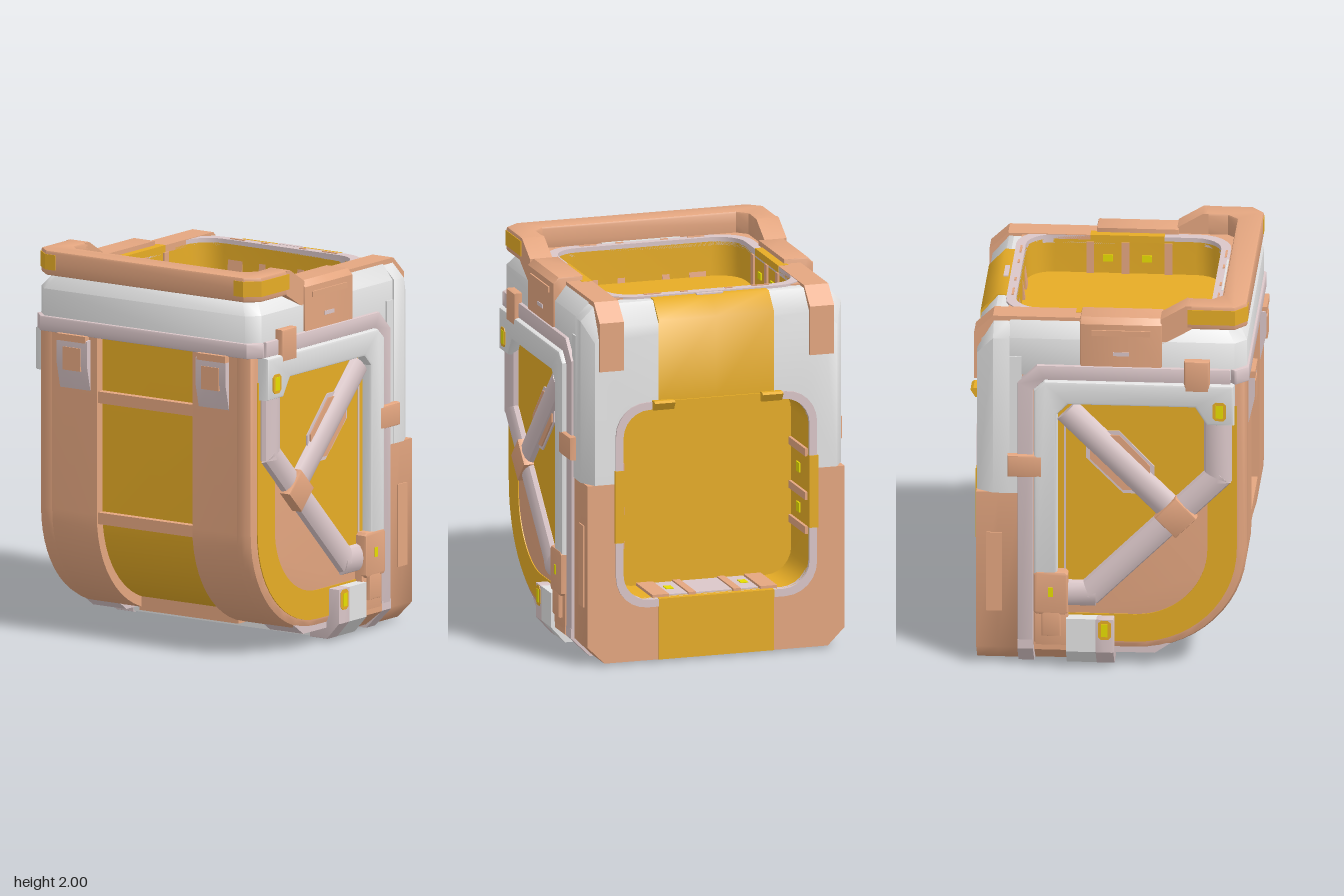
import * as THREE from 'three';
import { toCreasedNormals } from 'three/addons/utils/BufferGeometryUtils.js';

const mat = (name, color) => {
  const m = new THREE.MeshStandardMaterial({ color, side: THREE.DoubleSide });
  m.name = name;
  return m;
};

// Points of an arc, angles in quarter turns
const arc = (cx, cy, r, q0, q1, n = 10) => Array.from({ length: n + 1 }, (_, i) => {
  const a = (q0 + (q1 - q0) * i / n) * Math.PI / 2;
  return [cx + r * Math.cos(a), cy + r * Math.sin(a)];
});
const roundSquare = (h, r, cy = 0) => [0, 1, 2, 3].flatMap(q =>
  arc((q === 0 || q === 3 ? 1 : -1) * (h - r), cy + (q < 2 ? 1 : -1) * (h - r), r, q, q + 1, 6));
const toShape = (pts, hole) => {
  const v = p => p.map(([x, y]) => new THREE.Vector2(x, y));
  const s = new THREE.Shape(v(pts));
  if (hole) s.holes.push(new THREE.Path(v(hole)));
  return s;
};

// Extrusions along each axis; b is an inward bevel
function exZ(pts, z0, z1, b = 0, hole) {
  const g = new THREE.ExtrudeGeometry(toShape(pts, hole), {
    depth: z1 - z0 - 2 * b, bevelEnabled: b > 0, bevelSize: b, bevelThickness: b,
    bevelOffset: -b, bevelSegments: 2, steps: 2 });
  return g.translate(0, 0, z0 + b);
}
const exX = (pts, x0, x1, b, hole) => exZ(pts, x0, x1, b, hole).rotateY(Math.PI / 2);
const exY = (pts, y0, y1, b, hole) => exZ(pts, y0, y1, b, hole).rotateX(-Math.PI / 2);
const rect = (x0, x1, y0, y1, c = 0) => c ? [[x0 + c, y0], [x1 - c, y0], [x1, y0 + c], [x1, y1 - c],
  [x1 - c, y1], [x0 + c, y1], [x0, y1 - c], [x0, y0 + c]] : [[x0, y0], [x1, y0], [x1, y1], [x0, y1]];
const box = (x0, x1, y0, y1, z0, z1, b = 0) => exZ(rect(x0, x1, y0, y1), z0, z1, b);
// Cross band under the base with chamfered ends
const underBand = (x0, x1, w, y, top) => exX([[-w, top], [-w, 0.1], [0.1 - w, y], [w - 0.1, y], [w, 0.1], [w, top]], x0, x1);

// Move vertices by a rule
function warp(g, rule) {
  const p = g.attributes.position, v = new THREE.Vector3();
  for (let i = 0; i < p.count; i++) { v.fromBufferAttribute(p, i); rule(v); p.setXYZ(i, v.x, v.y, v.z); }
  g.computeVertexNormals();
  return g;
}
function mirrorZ(geo) {
  const g = geo.index ? geo.toNonIndexed() : geo.clone(), p = g.attributes.position;
  const a = p.array.slice();
  for (let i = 0; i < p.count; i++) {
    const j = i % 3 === 1 ? i + 1 : i % 3 === 2 ? i - 1 : i;
    p.setXYZ(i, a[3 * j], a[3 * j + 1], -a[3 * j + 2]);
  }
  g.computeVertexNormals();
  return g;
}

export function createModel() {
  const root = new THREE.Group();
  root.name = 'cornerModule';
  const gold = mat('gold', 0xe6ac26), orange = mat('copper', 0xe4a680), grey = mat('lightGrey', 0xe4e4e4),
    pink = mat('rosyGrey', 0xdac6c8), yellow = mat('yellow', 0xfaf000);
  const add = (name, g, m, crease = 0.6) => {
    const mesh = new THREE.Mesh(toCreasedNormals(g, crease), m);
    mesh.name = name;
    root.add(mesh);
  };
  const both = (name, g, m) => { add(name + 'Left', g, m); add(name + 'Right', mirrorZ(g), m); };

  // Recesses behind the top and right openings, each closed by a flat panel
  add('topRecessWall', exY(roundSquare(0.53, 0.17), 1.67, 1.87, 0, roundSquare(0.5, 0.14)), gold);
  add('topRecessFloor', exY(roundSquare(0.52, 0.16), 1.65, 1.69), gold);
  add('sideRecessWall', exX(roundSquare(0.53, 0.17, 0.83), 0.38, 0.67, 0, roundSquare(0.5, 0.14, 0.83)), gold);
  add('sideRecessPanel', exX(roundSquare(0.52, 0.16, 0.83), 0.36, 0.39), gold);

  // Rounded body: side plates, rear rims and recessed rear panel
  const body = d => [[-0.7 + d, 1.62], ...arc(-0.13, 0.66, 0.57 - d, 2, 3, 14), [0.52, 0.09 + d]];
  const lining = [[0.52, 0.31], ...arc(-0.08, 0.73, 0.42, 3, 2, 12), [-0.52, 1.62]];
  both('sidePlate', exZ([...body(0), [0.52, 1.62]], 0.54, 0.67, 0.04), orange);
  both('rearRim', exZ([...body(0), ...lining], 0.3, 0.58), orange);
  add('rearPanel', exZ([...body(0.05), ...lining], -0.31, 0.31), gold);
  for (const y of [1.27, 0.64]) add('rearRib', box(-0.69, -0.64, y - 0.03, y + 0.03, -0.31, 0.31), orange);
  add('lowerRib', box(-0.31, -0.25, 0.1, 0.2, -0.31, 0.31), orange);

  // Painted side bands and triangular panel
  both('sideBand', exZ([[-0.65, 1.45], ...arc(-0.13, 0.66, 0.52, 2, 3, 14), [0.24, 0.14], [0.24, 0.29],
    ...arc(-0.13, 0.66, 0.37, 3, 2, 14), [-0.5, 1.45]], 0.666, 0.675), gold);
  both('sidePanel', exZ([[-0.5, 1.46], [0.28, 1.46], [0.28, 0.38], [0.1, 0.4], [-0.5, 1.0]], 0.667, 0.677), gold);
  both('panelLine', box(0.222, 0.234, 0.45, 1.36, 0.675, 0.68), pink);

  // Top shell, bevelled towards its upper edge
  add('topShell', warp(exY(rect(-0.7, 0.57, -0.69, 0.69, 0.06), 1.6, 1.88, 0, roundSquare(0.52, 0.16)), v => {
    if (v.y > 1.7 && v.y < 1.8) v.y = 1.8;
    if (v.y > 1.85 && Math.max(Math.abs(v.z), -v.x) > 0.55) {
      v.z *= 0.91;
      if (v.x < 0) v.x += 0.05;
    }
  }), grey, 0.9);

  // Right end frame: grey upper half with softened edges, copper lower half
  add('upperFrame', warp(exX([[-0.7, 0.95], [-0.7, 1.8], [-0.62, 1.88], [0.62, 1.88], [0.7, 1.8], [0.7, 0.95],
    [0.53, 0.95], ...arc(0.39, 1.22, 0.14, 0, 1, 6), ...arc(-0.39, 1.22, 0.14, 1, 2, 6), [-0.53, 0.95]],
  0.51, 0.68), v => {
    if (v.x > 0.67) {
      if (v.y > 1.5) v.y -= 0.1;
      if (Math.abs(v.z) > 0.55) v.z *= 0.93;
    }
  }), grey, 0.9);
  add('lowerFrame', exX([[-0.69, 0.95], [-0.69, 0.1], [-0.6, 0.01], [0.6, 0.01], [0.69, 0.1], [0.69, 0.95],
    [0.53, 0.95], ...arc(0.39, 0.44, 0.14, 0, -1, 6), ...arc(-0.39, 0.44, 0.14, 3, 2, 6), [-0.53, 0.95]],
  0.46, 0.682), orange, 0.9);
  both('upperCheek', box(0.45, 0.52, 0.95, 1.7, 0.53, 0.697), grey);
  both('cheekPanel', box(0.55, 0.63, 0.3, 0.73, 0.68, 0.697), orange);

  // Stripe and corner straps that follow the end frame over its edge
  const strap = (x, low, t) => [[x, 1.86], [x, 1.88 + t], [0.6, 1.88 + t], [0.68 + t, 1.79 + t], [0.68 + t, low],
    [0.66, low], [0.66, 1.77], [0.58, 1.85]];
  add('upperStripe', exZ(strap(0.53, 1.37, 0.005), -0.31, 0.31), gold, 0.9);
  add('lowerStripe', box(0.66, 0.688, 0.01, 0.3, -0.31, 0.31), gold);
  both('cornerStrap', exZ(strap(0.15, 1.55, 0.016), 0.5, 0.63), orange);
  add('stripeMark', box(0.56, 0.585, 1.88, 1.892, -0.07, 0.07), pink);

  // Opening rims with gold inserts
  add('topRim', exY(roundSquare(0.55, 0.18), 1.85, 1.893, 0, roundSquare(0.5, 0.14)), pink);
  add('sideRim', exX(roundSquare(0.54, 0.17, 0.83), 0.65, 0.69, 0, roundSquare(0.5, 0.14, 0.83)), pink);
  both('sideRimInsert', box(0.66, 0.694, 0.64, 1.02, 0.499, 0.545), gold);
  for (const y of [0.31, 1.35]) add('crossRimInsert', box(0.66, 0.694, y - 0.021, y + 0.021, -0.31, 0.31), gold);
  both('topRimInsert', box(-0.2, 0.18, 1.86, 1.897, 0.499, 0.555), gold);
  both('hingeTab', exZ([[0.66, 1.33], [0.71, 1.33], [0.735, 1.37], [0.72, 1.38], [0.66, 1.375]], 0.235, 0.345), gold);

  // Ribs, panels and lights inside the recesses
  for (const y of [0.62, 0.8, 1.03]) both('wallRib', box(0.38, 0.66, y - 0.02, y + 0.02, 0.485, 0.51), orange);
  for (const x of [-0.22, 0, 0.18]) both('upperRib', box(x - 0.02, x + 0.02, 1.68, 1.86, 0.49, 0.51), orange);
  const slope = [[-0.535, 1.898], [-0.525, 1.898], [-0.495, 1.68], [-0.535, 1.68]];
  for (const [z, w] of [[0.12, 0.02], [0.29, 0.045]]) {
    both('rearWallRib', exZ(slope, z - w, z + w), orange);
    both('frontWallRib', exZ(slope.map(([x, y]) => [-x - 0.01, y]), z - w, z + w), orange);
    both('floorRib', box(0.38, 0.66, 0.32, 0.345, z - w, z + w), orange);
  }
  add('rearWallPanel', exZ([[-0.55, 1.898], [-0.54, 1.898], [-0.502, 1.68], [-0.55, 1.68]], -0.21, 0.21), grey);
  add('floorPanel', box(0.39, 0.64, 0.325, 0.337, -0.24, 0.24), pink);
  for (const y of [0.71, 0.92]) both('wallLight', box(0.49, 0.54, y - 0.025, y + 0.025, 0.492, 0.502), yellow);
  for (const x of [-0.11, 0.09]) both('upperLight', box(x - 0.025, x + 0.025, 1.755, 1.79, 0.492, 0.502), yellow);
  both('floorLight', box(0.48, 0.54, 0.335, 0.341, 0.18, 0.22), yellow);

  // Raised collar and side bridges
  add('collar', exY([[-0.7, 0.62], [-0.64, 0.69], [-0.4, 0.69], [-0.4, 0.57], [-0.52, 0.57], [-0.57, 0.52],
    [-0.57, -0.52], [-0.52, -0.57], [-0.4, -0.57], [-0.4, -0.69], [-0.64, -0.69], [-0.7, -0.62]],
  1.87, 2.0, 0.012), orange);
  add('collarSeat', exY(rect(-0.64, 0.53, -0.6, 0.6), 1.865, 1.888, 0, roundSquare(0.525, 0.16)), orange);
  both('collarRamp', exZ([[-0.42, 1.872], [-0.42, 1.998], [-0.39, 1.998], [-0.26, 1.92], [-0.26, 1.78]],
    0.57, 0.69), orange);
  both('collarStripe', mirrorZ(exY([[-0.703, 0.56], [-0.703, 0.622], [-0.642, 0.694], [-0.4, 0.694],
    [-0.4, 0.68], [-0.63, 0.68], [-0.69, 0.61], [-0.69, 0.56]], 1.9, 1.98)), gold);
  both('bridge', exX([[-0.54, 1.66], [-0.54, 1.92], [-0.67, 1.92], [-0.7, 1.89], [-0.7, 1.66]],
    -0.27, 0.15, 0.008), orange);
  both('bridgeLip', box(-0.21, 0.09, 1.83, 1.86, 0.69, 0.708), orange);
  both('bridgeMark', box(-0.1, -0.02, 1.72, 1.74, 0.695, 0.704), pink);

  // Trim running round the shell
  both('trim', exZ([[-0.62, 1.58], [0.33, 1.58], [0.39, 1.52], [0.39, 0.13], [0.47, 0.13], [0.47, 1.56],
    [0.37, 1.66], [-0.62, 1.66]], 0.58, 0.71, 0.008), pink);
  add('rearTrim', exY(rect(-0.712, -0.58, -0.708, 0.708, 0.06), 1.58, 1.66, 0.008), pink);
  add('bottomTrim', underBand(0.39, 0.47, 0.71, 0, 0.15), pink);

  // Side frame and diagonal braces
  both('sideFrame', exZ([[-0.64, 1.58], [0.33, 1.58], [0.385, 1.53], [0.385, 0.5], [0.265, 0.5], [0.265, 1.4],
    [0.21, 1.455], [-0.44, 1.455], [-0.5, 1.36], [-0.64, 1.36]], 0.6, 0.733, 0.015), grey);
  const rod = (x0, y0, x1, y1) => both('brace', new THREE.CylinderGeometry(0.071, 0.071,
    Math.hypot(x1 - x0, y1 - y0), 12).rotateZ(Math.atan2(y1 - y0, x1 - x0) - Math.PI / 2)
    .scale(1, 1, 0.6).translate((x0 + x1) / 2, (y0 + y1) / 2, 0.68), pink);
  [[0.22, 1.41, -0.34, 0.85], [-0.555, 1.4, -0.555, 1.04], [-0.57, 1.08, 0.11, 0.4], [0.07, 0.405, 0.26, 0.405]]
    .forEach(r => rod(...r));
  both('braceJoint', exZ([[-0.45, 0.845], [-0.34, 0.735], [-0.23, 0.845], [-0.34, 0.955]], 0.66, 0.732, 0.01), orange);
  const badge = s => [[-0.18, -0.09], [-0.18, -0.02], [0.0, 0.17], [0.09, 0.17], [0.17, 0.09], [0.17, 0.02],
    [-0.02, -0.17], [-0.1, -0.17]].map(([x, y]) => [-0.05 + x * s, 1.13 + y * s]);
  both('badgeEdge', exZ(badge(1), 0.67, 0.685), pink);
  both('badge', exZ(badge(0.88), 0.67, 0.693), orange);

  // Small clips, latch and lights
  both('upperClip', box(-0.515, -0.385, 1.54, 1.71, 0.66, 0.735, 0.012), orange);
  both('columnClip', box(0.34, 0.52, 1.05, 1.17, 0.66, 0.735, 0.012), orange);
  both('latch', exZ(rect(0.21, 0.385, 0.3, 0.535, 0.015), 0.6, 0.738, 0.012), orange);
  both('latchBase', box(0.21, 0.385, 0.12, 0.33, 0.5, 0.715, 0.01), orange);
  both('latchHook', box(0.245, 0.345, 0.18, 0.34, 0.68, 0.738, 0.012), orange);
  both('latchLight', box(0.285, 0.31, 0.4, 0.45, 0.734, 0.741), yellow);
  both('frameLightBase', exZ(rect(-0.6, -0.53, 1.39, 1.49, 0.015), 0.73, 0.737), gold);
  both('frameLight', box(-0.583, -0.547, 1.405, 1.475, 0.733, 0.74), yellow);

  // Underside bands and feet
  const foot = [[-0.735, 0.28], [-0.735, 0.1], [-0.66, 0.015], [-0.55, 0.015], [-0.55, 0.28]];
  both('foot', exX(foot, 0.06, 0.22), grey);
  both('footTab', exX(foot.map(([z, y]) => [z * 1.003, y]), -0.025, 0.07, 0.006), pink);
  both('footLightBase', exZ(rect(-0.01, 0.055, 0.17, 0.275, 0.015), 0.734, 0.74), gold);
  both('footLight', box(0.007, 0.04, 0.187, 0.255, 0.736, 0.743), yellow);
  add('bottomBand', box(-0.02, 0.22, 0.02, 0.12, -0.6, 0.6), grey);
  add('bottomLatchBand', underBand(0.212, 0.383, 0.714, 0.02, 0.14), orange);
  both('bottomFlange', exZ([[-0.31, 0.13], [-0.23, 0.075], [0, 0.075], [0, 0.13]], 0.45, 0.66), pink);

  // Rear hanging brackets below the trim
  const bracket = [[-0.66, 1.57], [-0.73, 1.56], [-0.73, 1.43], [-0.7, 1.3], [-0.66, 1.3]];
  both('rearBracket', exZ(bracket, 0.34, 0.53), pink);
  both('rearBracketInset', box(-0.735, -0.7, 1.4, 1.52, 0.38, 0.49), orange);
  both('rearBracketCap', box(-0.735, -0.68, 1.55, 1.585, 0.35, 0.53), orange);

  return root;
}
